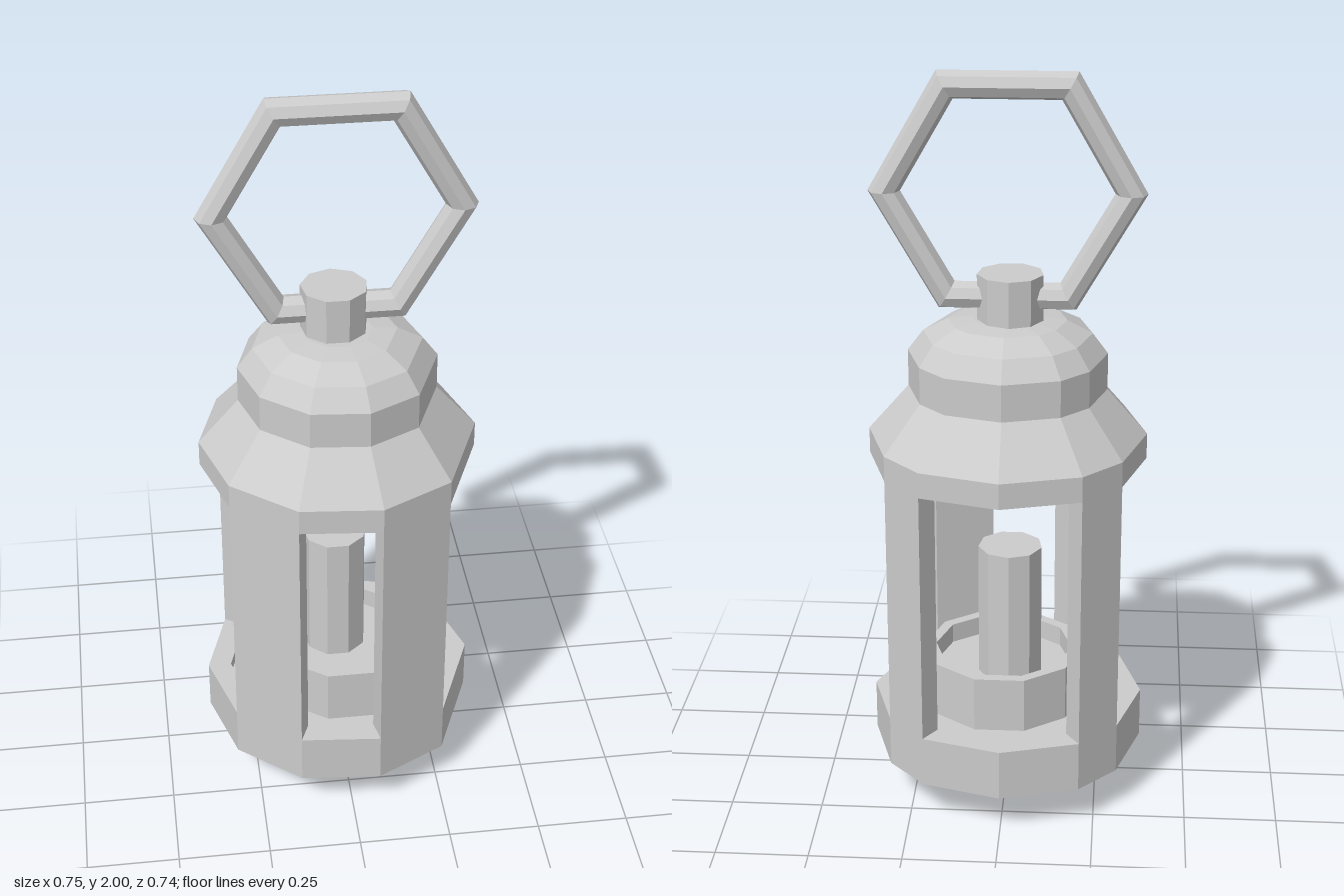
import * as THREE from 'three';

const material = new THREE.MeshStandardMaterial({ color: 0xcccccc, flatShading: true });

// Uneven eleven-sided plan of the body, [x, z]
const PLAN = [
  [0.073, 0.367], [0.263, 0.267], [0.373, 0], [0.31, -0.205], [0.21, -0.31], [0, -0.37],
  [-0.21, -0.31], [-0.31, -0.205], [-0.373, 0], [-0.31, 0.21], [-0.143, 0.347],
];
const INNER = 0.83;

// Sweep a plan through [scale, y] steps, giving flat faces
function loft(plan, profile) {
  const positions = [];
  const at = (i, [s, y]) => {
    const [x, z] = plan[i % plan.length];
    return [x * s, y, z * s];
  };
  for (let k = 0; k < profile.length - 1; k++) {
    const lower = profile[k], upper = profile[k + 1];
    for (let i = 0; i < plan.length; i++) {
      const a = at(i, lower), b = at(i + 1, lower), c = at(i + 1, upper), d = at(i, upper);
      if (lower[0] > 0) positions.push(...a, ...b, ...c);
      if (upper[0] > 0) positions.push(...a, ...c, ...d);
    }
  }
  const geometry = new THREE.BufferGeometry();
  geometry.setAttribute('position', new THREE.Float32BufferAttribute(positions, 3));
  geometry.computeVertexNormals();
  return geometry;
}

export function createModel() {
  const group = new THREE.Group();
  const add = (name, geometry, x = 0, y = 0, z = 0) => {
    const mesh = new THREE.Mesh(geometry, material);
    mesh.name = name;
    mesh.position.set(x, y, z);
    group.add(mesh);
    return mesh;
  };

  // Base: rounded underside, rim band and sunken floor
  add('base', loft(PLAN, [
    [0, 0], [0.22, 0], [0.47, 0.03], [1, 0.115], [1, 0.255], [INNER, 0.255], [INNER, 0.22], [0, 0.22],
  ]));

  // Hollow roof: band, slope, collar and dome
  add('roof', loft(PLAN, [
    [INNER, 0.96], [1, 0.96], [1, 1.03], [0.71, 1.155], [0.71, 1.255],
    [0.6, 1.31], [0.42, 1.345], [0.25, 1.352], [0, 1.352],
  ]));
  add('roofLining', loft(PLAN, [
    [0, 1.32], [0.38, 1.31], [0.6, 1.24], [0.6, 1.13], [INNER, 1.02], [INNER, 0.96],
  ]));

  // Four pillars, each on one side of the plan
  for (const i of [0, 3, 6, 9]) {
    const p = PLAN[i], q = PLAN[i + 1];
    const section = [p, q, q.map((v) => v * INNER), p.map((v) => v * INNER)];
    add('pillar', loft(section, [[1, 0.255], [1, 0.96]]));
  }

  // Candle cup with a raised lip
  const cup = [[0, 0.22], [0.22, 0.22], [0.22, 0.375], [0.19, 0.375], [0.19, 0.32], [0, 0.32]]
    .map(([r, y]) => new THREE.Vector2(r, y));
  add('candleCup', new THREE.LatheGeometry(cup, 10), 0.012, 0, 0.02).rotation.y = Math.PI / 10;

  // Candle and top knob share one section
  const post = (name, bottom, top) => {
    const geometry = new THREE.CylinderGeometry(0.088, 0.088, top - bottom, 9);
    add(name, geometry, -0.008, (bottom + top) / 2, -0.013).rotation.y = Math.PI;
  };
  post('candle', 0.3, 0.7);
  post('knob', 1.33, 1.475);

  // Hexagonal carrying ring through the knob
  add('carryingRing', new THREE.TorusGeometry(0.318, 0.042, 8, 6), 0, 1.69, -0.013);

  return group;
}
